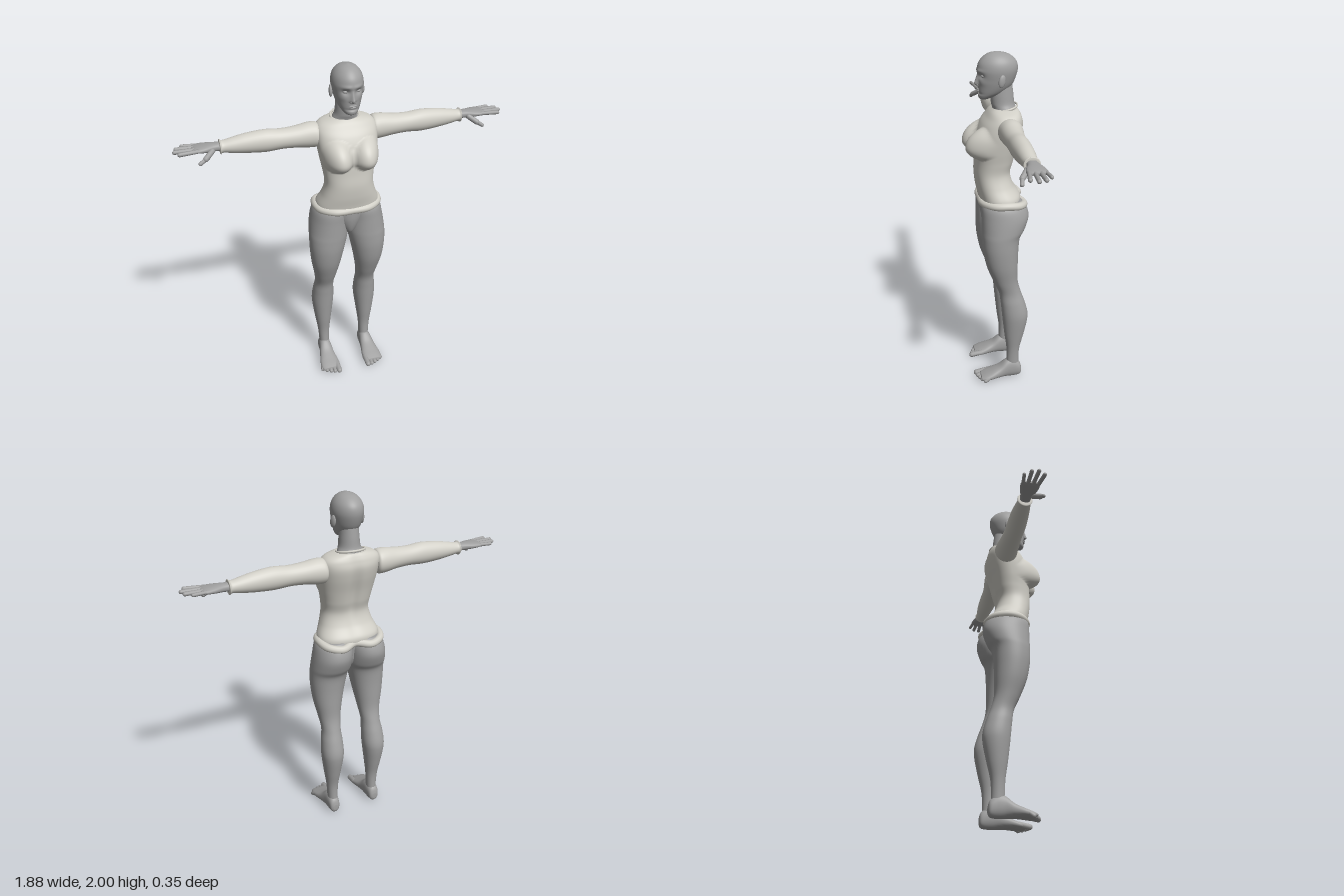
import * as THREE from 'three';

const skin = new THREE.MeshStandardMaterial({ color: 0xa0a0a0 });
skin.name = 'grey skin';
const cloth = new THREE.MeshStandardMaterial({ color: 0xd2d0c8 });
cloth.name = 'off-white cloth';

// Smoothly interpolated cross-section between the given rows
function sample(rows, u) {
  const n = rows.length - 1;
  const i = Math.min(Math.floor(u * n), n - 1);
  const t = u * n - i;
  const at = k => rows[Math.max(0, Math.min(n, k))];
  return rows[0].map((_, c) => {
    const [p0, p1, p2, p3] = [at(i - 1)[c], at(i)[c], at(i + 1)[c], at(i + 2)[c]];
    const v0 = (p2 - p0) / 2, v1 = (p3 - p1) / 2;
    return (2 * p1 - 2 * p2 + v0 + v1) * t ** 3 + (-3 * p1 + 3 * p2 - 2 * v0 - v1) * t * t + v0 * t + p1;
  });
}

// Axis frames for lofts: upright, sideways (arms) and forwards (feet)
const UP = (t, a, b) => [a, t, b];
const SIDE = (t, a, b) => [t, b, a];
const FORWARD = (t, a, b) => [b, a, t];

// Closed skin over rows of [t, aMin, aMax, bMin, bMax]; warp moves finished points
function loft(rows, { frame = UP, seg = 32, steps = 48, power = 2, warp = p => p } = {}) {
  const pos = [], index = [];
  const round = v => Math.sign(v) * Math.abs(v) ** (2 / power);
  for (let j = 0; j <= steps; j++) {
    const [t, a0, a1, b0, b1] = sample(rows, j / steps);
    for (let i = 0; i < seg; i++) {
      const q = (i / seg) * Math.PI * 2;
      const a = (a0 + a1) / 2 + (a1 - a0) / 2 * round(Math.cos(q));
      const b = (b0 + b1) / 2 + (b1 - b0) / 2 * round(Math.sin(q));
      pos.push(...warp(frame(t, a, b)));
    }
  }
  for (let j = 0; j < steps; j++) for (let i = 0; i < seg; i++) {
    const k = (i + 1) % seg, r = j * seg, s = r + seg;
    index.push(r + i, s + i, r + k, s + i, s + k, r + k);
  }
  // End caps
  for (const [row, flip] of [[rows[0], false], [rows.at(-1), true]]) {
    const c = pos.length / 3, r = flip ? steps * seg : 0;
    pos.push(...frame(row[0], (row[1] + row[2]) / 2, (row[3] + row[4]) / 2));
    for (let i = 0; i < seg; i++) {
      const k = (i + 1) % seg;
      index.push(c, flip ? r + k : r + i, flip ? r + i : r + k);
    }
  }
  const g = new THREE.BufferGeometry();
  g.setAttribute('position', new THREE.Float32BufferAttribute(pos, 3));
  g.setIndex(index);
  g.computeVertexNormals();
  return g;
}

// Rounded rod between two points
function rod(a, b, r) {
  const p = new THREE.Vector3(...a), d = new THREE.Vector3(...b).sub(p);
  const g = new THREE.CapsuleGeometry(r, d.length(), 5, 12);
  g.applyQuaternion(new THREE.Quaternion().setFromUnitVectors(new THREE.Vector3(0, 1, 0), d.clone().normalize()));
  return g.translate(...p.addScaledVector(d, 0.5).toArray());
}

const ball = (c, s) => new THREE.SphereGeometry(1, 20, 14).scale(...s).translate(...c);

function mirrored(g) {
  const m = g.clone().scale(-1, 1, 1);
  const ix = m.index.array;
  for (let i = 0; i < ix.length; i += 3) [ix[i], ix[i + 1]] = [ix[i + 1], ix[i]];
  m.computeVertexNormals();
  return m;
}

const bell = (v, w) => Math.exp(-((v / w) ** 2));
const symmetric = rows => rows.map(([y, w, z0, z1]) => [y, -w, w, z0, z1]);

// Bust on the front of the torso, spine groove on the back
function torsoWarp([x, y, z]) {
  if (z > -0.01) {
    const dx = (Math.abs(x) - 0.086) / 0.082, dy = (y - 1.495) / (y > 1.495 ? 0.11 : 0.072);
    const d = 1 - dx * dx - dy * dy;
    if (d > 0) z += 0.073 * d ** 0.8 * Math.min(1, (z + 0.01) / 0.06);
  } else z += 0.016 * bell(x, 0.03) * bell(y - 1.45, 0.2);
  return [x, y, z];
}

// Nose, eye sockets, brow, cheeks and mouth on the face
function faceWarp([x, y, z]) {
  if (z > 0.02) {
    const ax = Math.abs(x);
    const ridge = Math.max(0, Math.min(1, (1.885 - y) / 0.05)) * Math.max(0, Math.min(1, (y - 1.815) / 0.012));
    z += 0.021 * ridge * bell(x, 0.007 + 0.007 * ridge);
    z -= 0.013 * bell(ax - 0.034, 0.02) * bell(y - 1.876, 0.014);
    z += 0.005 * bell(ax - 0.03, 0.03) * bell(y - 1.903, 0.01);
    z += 0.004 * bell(ax - 0.048, 0.02) * bell(y - 1.842, 0.018);
    z -= 0.006 * bell(x, 0.03) * bell(y - 1.778, 0.008);
  }
  return [x, y, z];
}

export function createModel() {
  const model = new THREE.Group();
  model.name = 'standing figure';
  const add = (name, g, mat) => {
    const m = new THREE.Mesh(g, mat);
    m.name = name;
    model.add(m);
  };
  const pair = (name, g, mat) => {
    add(name + 'Left', g, mat);
    add(name + 'Right', mirrored(g), mat);
  };

  // Head and neck
  add('head', loft(symmetric([
    [1.743, 0.012, 0.05, 0.08], [1.75, 0.03, 0.03, 0.092], [1.765, 0.045, -0.01, 0.097],
    [1.785, 0.058, -0.05, 0.097], [1.815, 0.07, -0.085, 0.098], [1.85, 0.079, -0.105, 0.098],
    [1.9, 0.086, -0.12, 0.102], [1.94, 0.08, -0.116, 0.095], [1.97, 0.063, -0.093, 0.073],
    [1.99, 0.038, -0.058, 0.043], [2, 0.004, -0.01, 0.004]]),
  { seg: 120, steps: 100, warp: faceWarp }), skin);
  add('neck', loft(symmetric([
    [1.65, 0.085, -0.115, 0.02], [1.69, 0.072, -0.112, 0.018], [1.72, 0.06, -0.103, 0.026],
    [1.77, 0.055, -0.098, 0.028], [1.83, 0.05, -0.09, 0.02]])), skin);
  pair('ear', ball([0, 0, 0], [0.011, 0.035, 0.02]).rotateX(-0.2).rotateY(0.3).translate(0.086, 1.855, -0.02), skin);
  pair('eye', ball([0.034, 1.876, 0.074], [0.015, 0.009, 0.012]), skin);
  pair('nostril', ball([0.01, 1.824, 0.099], [0.007, 0.006, 0.009]), skin);
  add('upperLip', ball([0, 1.801, 0.095], [0.022, 0.005, 0.01]), skin);
  add('lowerLip', ball([0, 1.791, 0.094], [0.018, 0.006, 0.01]), skin);

  // Shirt body, collar and rolled hem
  add('shirtBody', loft(symmetric([
    [1.165, 0.185, -0.135, 0.1], [1.2, 0.18, -0.132, 0.106], [1.26, 0.155, -0.095, 0.118],
    [1.33, 0.138, -0.078, 0.125], [1.4, 0.145, -0.095, 0.122], [1.47, 0.158, -0.112, 0.12],
    [1.55, 0.17, -0.135, 0.11], [1.61, 0.174, -0.146, 0.085], [1.65, 0.168, -0.14, 0.055],
    [1.676, 0.14, -0.13, 0.035], [1.693, 0.085, -0.12, 0.016]]),
  { seg: 96, steps: 90, power: 2.35, warp: torsoWarp }), cloth);
  add('collar', new THREE.TorusGeometry(1, 0.08, 8, 48).rotateX(Math.PI / 2)
    .scale(0.08, 0.08, 0.068).rotateX(0.2).translate(0, 1.694, -0.052), cloth);
  const half = [[0.1, 1.166, 0.084], [0.168, 1.168, 0.03], [0.182, 1.17, -0.04],
    [0.16, 1.16, -0.11], [0.09, 1.15, -0.145]];
  const hem = [[0, 1.166, 0.09], ...half, [0, 1.16, -0.112],
    ...half.map(([x, y, z]) => [-x, y, z]).reverse()].map(p => new THREE.Vector3(...p));
  add('rolledHem', new THREE.TubeGeometry(new THREE.CatmullRomCurve3(hem, true), 96, 0.023, 12, true), cloth);

  // Sleeves with a small flared cuff
  pair('sleeve', loft([
    [0.15, -0.105, 0.005, 1.55, 1.655], [0.165, -0.117, 0.017, 1.533, 1.672], [0.21, -0.115, 0.015, 1.533, 1.674],
    [0.28, -0.106, 0.012, 1.543, 1.664], [0.36, -0.1, 0.008, 1.547, 1.66], [0.45, -0.1, 0.008, 1.542, 1.667],
    [0.55, -0.099, 0, 1.549, 1.658], [0.62, -0.094, -0.008, 1.558, 1.645], [0.675, -0.089, -0.016, 1.567, 1.634],
    [0.69, -0.095, -0.01, 1.56, 1.642], [0.693, -0.082, -0.022, 1.575, 1.63]],
  { frame: SIDE, steps: 60 }), cloth);

  // Hands: palm, four fingers and a bent thumb
  pair('palm', loft([
    [0.67, -0.08, -0.025, 1.58, 1.625], [0.72, -0.085, -0.02, 1.584, 1.627], [0.77, -0.099, -0.004, 1.588, 1.626],
    [0.815, -0.103, 0, 1.594, 1.622], [0.835, -0.09, -0.012, 1.602, 1.616]],
  { frame: SIDE, steps: 24, power: 2.4 }), skin);
  [[-0.011, 0.004, 0.905], [-0.038, -0.032, 0.928], [-0.065, -0.068, 0.918], [-0.091, -0.1, 0.885]].forEach(
    ([z0, z1, tip], i) => pair('finger' + (i + 1),
      rod([0.81, 1.609, z0], [tip, 1.61, z1], i === 3 ? 0.0095 : 0.011), skin));
  pair('thumbBase', rod([0.735, 1.597, -0.02], [0.775, 1.57, 0.012], 0.015), skin);
  pair('thumbTip', rod([0.775, 1.57, 0.012], [0.806, 1.551, 0.02], 0.011), skin);

  // Pelvis and legs
  add('pelvis', loft(symmetric([
    [0.985, 0.012, -0.04, 0.03], [1.0, 0.03, -0.07, 0.06], [1.04, 0.06, -0.09, 0.08],
    [1.1, 0.1, -0.1, 0.094], [1.17, 0.15, -0.11, 0.098]]), { steps: 24 }), skin);
  pair('leg', loft([
    [0.05, 0.107, 0.167, -0.125, -0.045], [0.1, 0.105, 0.165, -0.12, -0.045], [0.2, 0.1, 0.172, -0.124, -0.045],
    [0.3, 0.088, 0.187, -0.147, -0.032], [0.4, 0.075, 0.2, -0.168, -0.021], [0.46, 0.07, 0.203, -0.17, -0.015],
    [0.53, 0.072, 0.197, -0.152, -0.008], [0.6, 0.075, 0.188, -0.128, 0.003], [0.68, 0.064, 0.198, -0.108, 0.037],
    [0.78, 0.045, 0.217, -0.107, 0.075], [0.88, 0.024, 0.227, -0.11, 0.095], [0.96, 0.006, 0.228, -0.12, 0.1],
    [1.01, -0.004, 0.225, -0.148, 0.1], [1.08, -0.006, 0.215, -0.171, 0.1], [1.14, -0.005, 0.2, -0.16, 0.1],
    [1.18, 0.01, 0.175, -0.13, 0.09]],
  { seg: 48, steps: 90, power: 2.1 }), skin);

  // Feet and toes
  pair('foot', loft([
    [-0.137, 0.025, 0.06, 0.122, 0.15], [-0.125, 0.006, 0.095, 0.107, 0.166], [-0.085, 0, 0.125, 0.1, 0.172],
    [-0.045, 0.002, 0.12, 0.097, 0.176], [0, 0.005, 0.084, 0.092, 0.186], [0.05, 0.004, 0.06, 0.083, 0.198],
    [0.09, 0.002, 0.044, 0.08, 0.2], [0.118, 0.006, 0.032, 0.088, 0.19]],
  { frame: FORWARD, steps: 40, power: 2.3 }), skin);
  for (let i = 0; i < 5; i++) {
    const r = i ? 0.0125 : 0.0165, x = i ? 0.1 + i * 0.0225 : 0.097;
    pair('toe' + (i + 1), rod([x, r + 0.012, 0.075], [x + 0.001 * i, r, 0.139 - 0.002 * i * i - 0.003 * i], r), skin);
  }
  return model;
}
